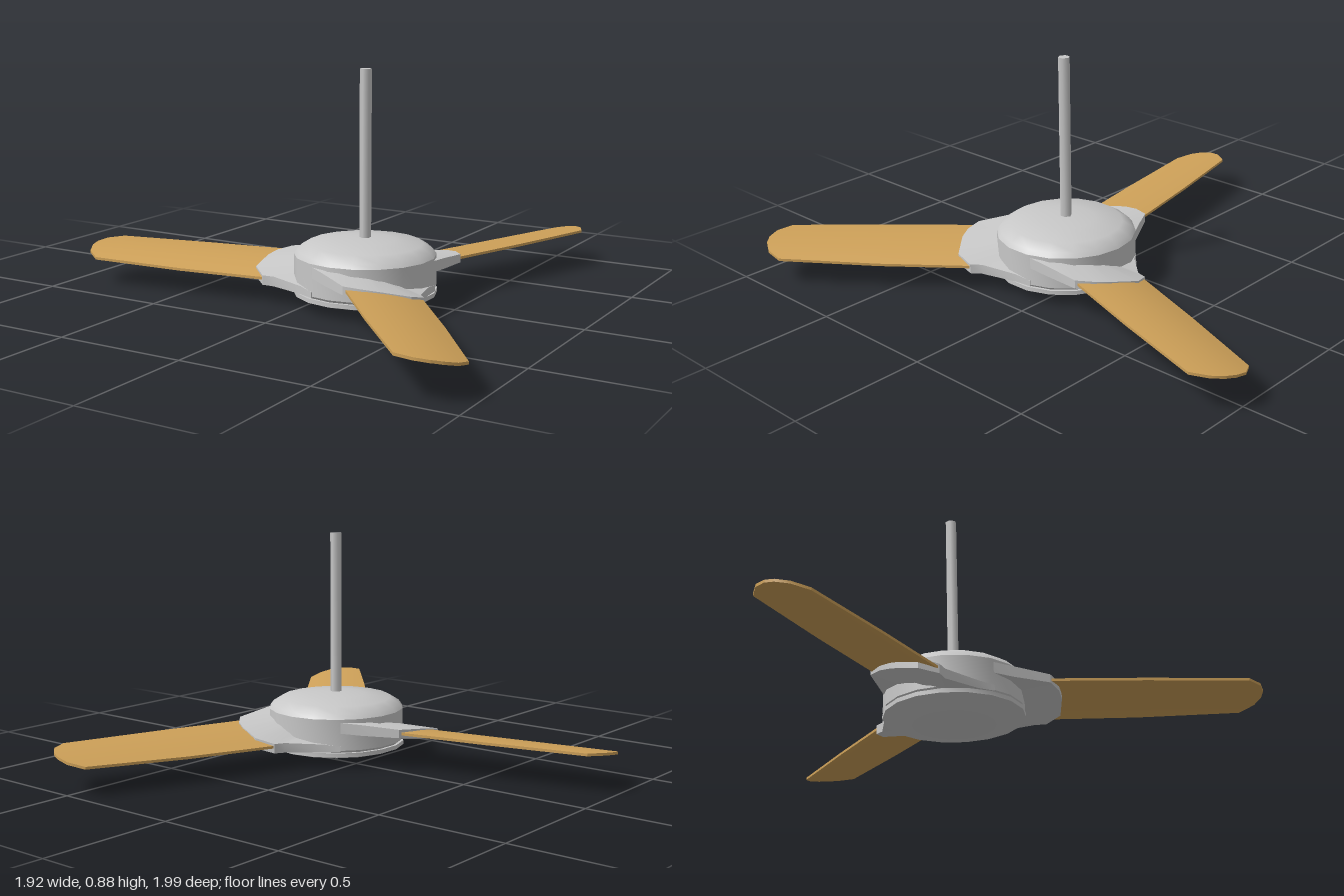
import * as THREE from 'three';
import { toCreasedNormals } from 'three/addons/utils/BufferGeometryUtils.js';

// Joins closed rings of [x, y, z] points into a capped solid.
function loft(rings, crease) {
  const n = rings[0].length, index = [];
  for (let i = 0; i < rings.length - 1; i++) {
    for (let j = 0; j < n; j++) {
      const k = (j + 1) % n;
      const a = i * n + j, b = i * n + k, c = a + n, d = b + n;
      index.push(a, b, d, a, d, c);
    }
  }
  const last = (rings.length - 1) * n;
  for (let j = 0; j < n / 2 - 1; j++) {
    const a = j, b = j + 1, c = n - 2 - j, d = n - 1 - j;
    index.push(a, c, b, a, d, c);
    index.push(last + a, last + b, last + c, last + a, last + c, last + d);
  }
  const geo = new THREE.BufferGeometry();
  geo.setAttribute('position', new THREE.Float32BufferAttribute(rings.flat(2), 3));
  geo.setIndex(index);
  return toCreasedNormals(geo, crease);
}

// Blade: a thin arched section, high on its +z edge, with a rounded tip.
function bladeGeometry() {
  const steps = 8, thickness = 0.01;
  const height = (v) => 0.138 + 0.165 * v - 0.75 * v * v;
  const stations = [
    [0.3, -0.143, 0.134], [0.7, -0.137, 0.127], [1.08, -0.118, 0.111],
    [1.13, -0.074, 0.062], [1.148, -0.025, 0.015],
  ];
  return loft(stations.map(([u, v0, v1]) => {
    const top = [], bottom = [];
    for (let i = 0; i <= steps; i++) {
      const v = v0 + (v1 - v0) * i / steps;
      top.push([u, height(v) + thickness / 2, v]);
      bottom.unshift([u, height(v) - thickness / 2, v]);
    }
    return [...top, ...bottom];
  }), 0.6);
}

// Arm: a swooping bracket that runs from high on the hub down to its base.
function armGeometry() {
  const outline = [ // u, v, top, bottom
    [0.06, 0.255, 0.19, 0.155], [0.10, 0.237, 0.187, 0.145],
    [0.22, 0.19, 0.177, 0.136], [0.353, 0.142, 0.164, 0.132],
    [0.388, 0.08, 0.159, 0.124], [0.402, 0.02, 0.151, 0.114],
    [0.403, -0.09, 0.13, 0.09], [0.352, -0.146, 0.112, 0.076],
    [0.308, -0.143, 0.11, 0.073], [0.176, -0.2, 0.1, 0.07],
    [0.12, -0.238, 0.092, 0.07],
  ];
  return loft(outline.map(([u, v, top, bottom]) => {
    const k = 0.2 / Math.hypot(u, v);
    return [
      [u * k, top + 0.008, v * k], [u, top, v],
      [u, bottom, v], [u * k, bottom - 0.012, v * k],
    ];
  }), 0.6);
}

export function createModel() {
  const metal = new THREE.MeshStandardMaterial({ color: 0xc8c8c8 });
  metal.name = 'pale grey metal';
  const wood = new THREE.MeshStandardMaterial({ color: 0xcda058 });
  wood.name = 'light wood';

  const fan = new THREE.Group();
  fan.name = 'ceilingFan';
  fan.position.set(0.17, 0, 0.085);
  const add = (parent, name, geo, mat) => {
    const mesh = new THREE.Mesh(geo, mat);
    mesh.name = name;
    parent.add(mesh);
    return mesh;
  };
  const turned = (profile) => toCreasedNormals(new THREE.LatheGeometry(
    profile.map(([r, y]) => new THREE.Vector2(r, y)), 18), 0.5);

  // Motor housing with chamfered shoulder
  add(fan, 'motorHousing', turned([
    [0, 0.064], [0.255, 0.064], [0.265, 0.075], [0.265, 0.195],
    [0.252, 0.212], [0.215, 0.235], [0.11, 0.247], [0, 0.258],
  ]), metal);

  // Shallow dished cover underneath
  add(fan, 'bottomCover', turned([
    [0, 0.004], [0.08, 0.011], [0.16, 0.023], [0.24, 0.041],
    [0.268, 0.05], [0.268, 0.066], [0, 0.066],
  ]), metal);

  // Hanging rod
  const rod = new THREE.CylinderGeometry(0.022, 0.022, 0.64, 6);
  add(fan, 'hangingRod', rod, metal).position.y = 0.56;

  // Three arms with blades
  const arm = armGeometry(), blade = bladeGeometry();
  for (let i = 0; i < 3; i++) {
    const unit = new THREE.Group();
    unit.name = 'bladeUnit' + (i + 1);
    unit.rotation.y = -THREE.MathUtils.degToRad(50.2 + 120 * i);
    add(unit, 'bladeArm', arm, metal);
    add(unit, 'blade', blade, wood);
    fan.add(unit);
  }

  const model = new THREE.Group();
  model.name = 'model';
  model.add(fan);
  return model;
}
